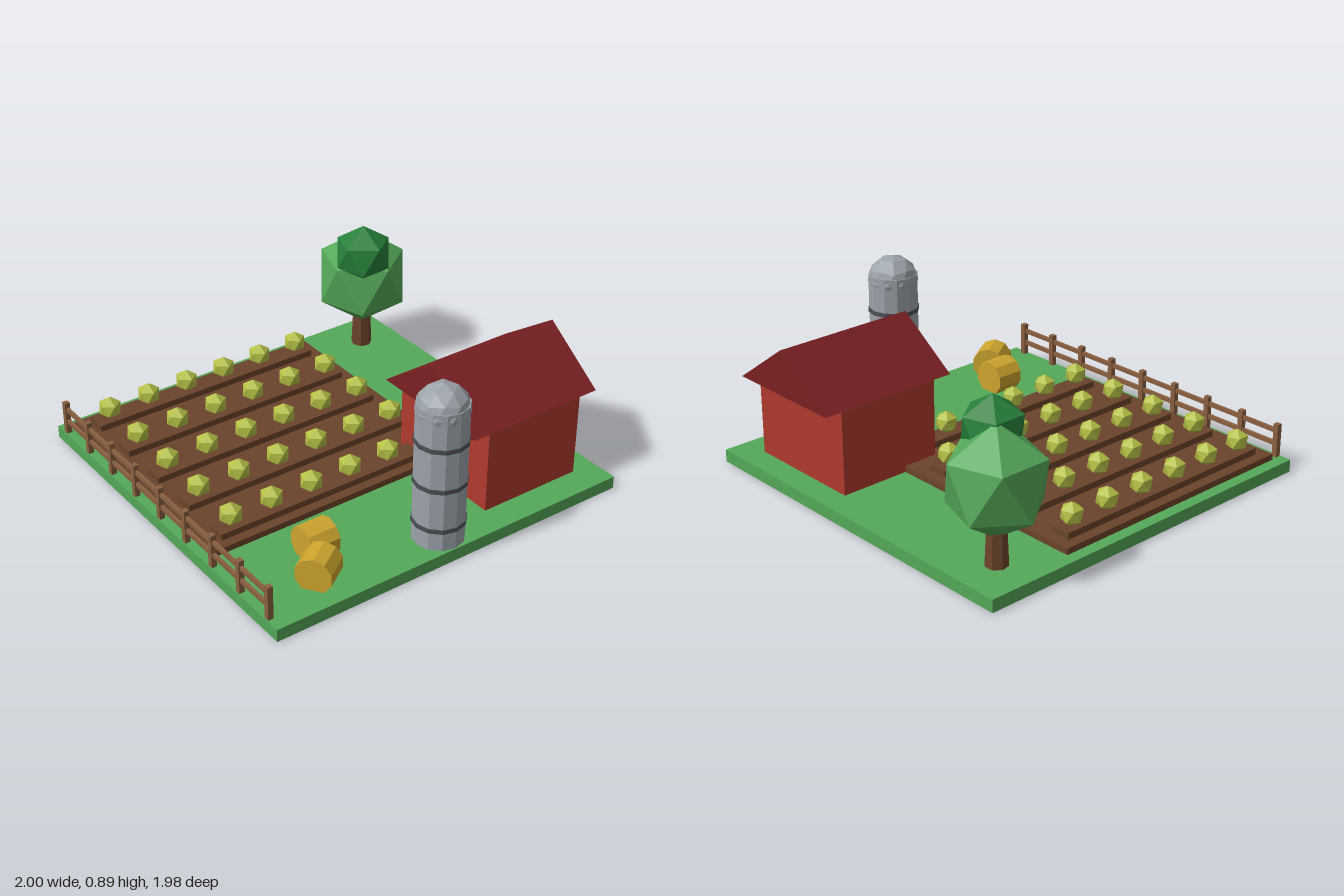
import * as THREE from 'three';

const paint = (name, color) => {
  const m = new THREE.MeshStandardMaterial({ color });
  m.name = name;
  return m;
};

export function createModel() {
  const farm = new THREE.Group();
  farm.name = 'farm';

  const green = paint('grass green', 0x55a859);
  const darkGreen = paint('dark leaf green', 0x27803b);
  const lime = paint('crop green', 0xb4bf45);
  const soil = paint('soil brown', 0x6b442c);
  const wood = paint('fence brown', 0x8a6040);
  const red = paint('barn red', 0xb03a2e);
  const darkRed = paint('roof red', 0x7a2023);
  const grey = paint('metal grey', 0x9ca3aa);
  const darkGrey = paint('band grey', 0x4b4f55);
  const straw = paint('straw yellow', 0xcda42d);

  // Adds a faceted mesh
  function add(parent, name, geometry, material, x = 0, y = 0, z = 0) {
    const g = geometry.index ? geometry.toNonIndexed() : geometry;
    g.computeVertexNormals();
    const mesh = new THREE.Mesh(g, material);
    mesh.name = name;
    mesh.position.set(x, y, z);
    parent.add(mesh);
    return mesh;
  }

  // Box given by its extents on each axis
  function box(parent, name, material, [x0, x1], [y0, y1], [z0, z1]) {
    return add(parent, name, new THREE.BoxGeometry(x1 - x0, y1 - y0, z1 - z0), material,
      (x0 + x1) / 2, (y0 + y1) / 2, (z0 + z1) / 2);
  }

  // Faceted ball standing on one of its corners
  const ball = (r, detail = 0) =>
    new THREE.IcosahedronGeometry(r, detail).rotateZ(-Math.atan(2 / (1 + Math.sqrt(5))));

  function group(name) {
    const g = new THREE.Group();
    g.name = name;
    farm.add(g);
    return g;
  }

  const ground = 0.065;
  box(farm, 'ground', green, [-0.98, 1], [0, ground], [-0.99, 0.99]);

  // Field with ridges and crops
  const field = group('field');
  box(field, 'soilBed', soil, [-0.92, 0.41], [ground, 0.097], [-0.49, 0.925]);
  for (let i = 0; i < 5; i++) {
    const x = -0.812 + i * 0.28;
    box(field, 'ridge', soil, [x - 0.053, x + 0.053], [0.09, 0.13], [-0.43, 0.86]);
    for (let j = 0; j < 6; j++) {
      add(field, 'crop', ball(0.061), lime, x, 0.184, -0.358 + j * 0.2265);
    }
  }

  // Barn
  const barn = group('barn');
  const cx = 0.525;
  box(barn, 'barnWalls', red, [0.2, 0.85], [ground, 0.5], [-0.86, -0.3]);
  const gable = new THREE.Shape([
    new THREE.Vector2(-0.332, 0), new THREE.Vector2(0.332, 0), new THREE.Vector2(0, 0.235),
  ]);
  add(barn, 'roof', new THREE.ExtrudeGeometry(gable, { depth: 0.755, bevelEnabled: false }),
    darkRed, cx, 0.5, -0.957);
  box(barn, 'door', darkRed, [cx - 0.12, cx + 0.12], [ground, 0.335], [-0.31, -0.28]);
  for (const x of [-0.12, 0, 0.12]) {
    box(barn, 'doorBar', grey, [cx + x - 0.011, cx + x + 0.011], [ground, 0.33], [-0.31, -0.27]);
  }
  box(barn, 'doorLintel', grey, [cx - 0.131, cx + 0.131], [0.328, 0.348], [-0.31, -0.272]);
  box(barn, 'loftWindow', grey, [cx - 0.066, cx + 0.066], [0.41, 0.53], [-0.31, -0.275]);

  // Silo
  const silo = group('silo');
  silo.position.set(0.868, 0, 0);
  add(silo, 'siloWall', new THREE.CylinderGeometry(0.127, 0.127, 0.735, 12), grey, 0, 0.4275, 0);
  add(silo, 'siloDome', ball(0.13, 1), grey, 0, 0.76, 0);
  for (const y of [0.172, 0.39, 0.605]) {
    add(silo, 'siloBand', new THREE.CylinderGeometry(0.132, 0.132, 0.022, 12), darkGrey, 0, y, 0);
  }

  // Tree
  const tree = group('tree');
  add(tree, 'trunk', new THREE.CylinderGeometry(0.045, 0.056, 0.26, 7), soil, -0.77, 0.19, -0.775);
  add(tree, 'lowerFoliage', ball(0.257).scale(1, 1.07, 1), green, -0.77, 0.475, -0.775);
  add(tree, 'upperFoliage', ball(0.158), darkGreen, -0.67, 0.673, -0.705);

  // Round hay bales lying on their sides
  for (const [x, z, turn] of [[0.65, 0.538, 0], [0.825, 0.645, 0.6]]) {
    const bale = add(farm, 'hayBale',
      new THREE.CylinderGeometry(0.092, 0.092, 0.152, 10).rotateX(Math.PI / 2), straw, x, 0.14, z);
    bale.rotation.y = turn;
  }

  // Fence along the front edge
  const fence = group('fence');
  for (let i = 0; i < 9; i++) {
    const x = -0.903 + i * 0.2268;
    box(fence, 'fencePost', wood, [x - 0.014, x + 0.014], [ground, 0.24], [0.957, 0.985]);
  }
  for (const y of [0.133, 0.202]) {
    box(fence, 'fenceRail', wood, [-0.917, 0.925], [y - 0.011, y + 0.011], [0.963, 0.979]);
  }

  return farm;
}
